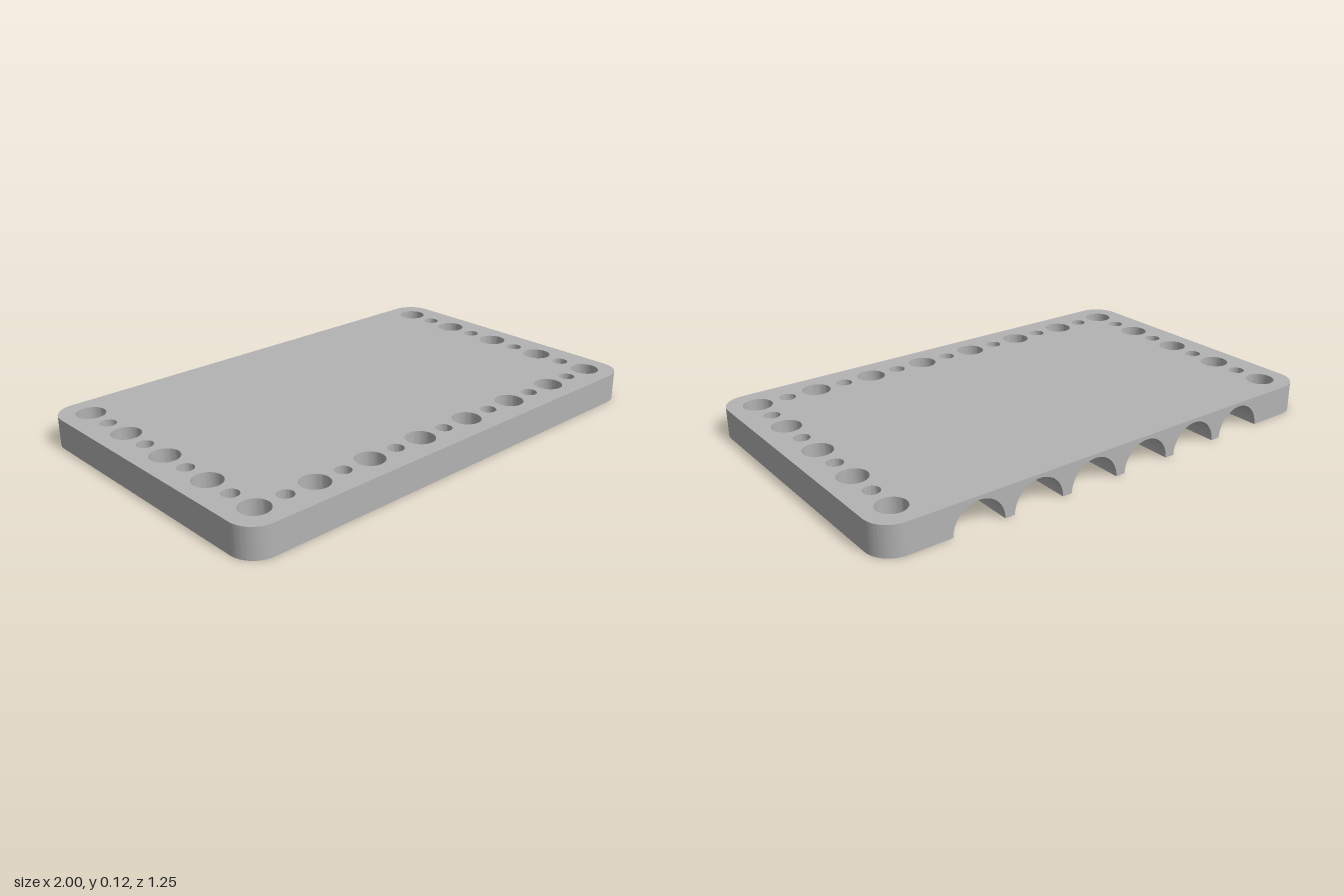
import * as THREE from 'three';
import { toCreasedNormals } from 'three/addons/utils/BufferGeometryUtils.js';

const W = 1, D = 0.623, H = 0.12;      // half width, half depth, height
const CORNER = 0.1;
const GROOVE_R = 0.105, GROOVE_PITCH = 0.25, GROOVES = 6;
const GROOVE_FRONT = 0.4;              // z where the channels end
const BAY = GROOVE_PITCH * (GROOVES - 1) / 2 + GROOVE_R;
const HOLE_X = 0.884, HOLE_Z = 0.505, BIG = 0.057, SMALL = 0.032;

function extrude(shape, depth) {
  const geo = new THREE.ExtrudeGeometry(shape, { depth, bevelEnabled: false, curveSegments: 24 });
  return toCreasedNormals(geo, 0.6);
}

// U-shaped rim with rounded corners, open at the back (shape y = -z)
function rimShape() {
  const s = new THREE.Shape();
  const c = CORNER, h = Math.PI / 2;
  s.moveTo(-BAY, D);
  s.lineTo(-W + c, D);
  s.absarc(-W + c, D - c, c, h, 2 * h, false);
  s.absarc(-W + c, -D + c, c, 2 * h, 3 * h, false);
  s.absarc(W - c, -D + c, c, 3 * h, 4 * h, false);
  s.absarc(W - c, D - c, c, 0, h, false);
  s.lineTo(BAY, D);
  s.lineTo(BAY, -GROOVE_FRONT);
  s.lineTo(-BAY, -GROOVE_FRONT);
  s.closePath();

  const addHole = (x, z, i) => {
    const hole = new THREE.Path();
    hole.absarc(x, -z, i % 2 ? SMALL : BIG, 0, Math.PI * 2, true);
    s.holes.push(hole);
  };
  // front row, alternating large and small
  for (let i = 0; i <= 14; i++) addHole(-HOLE_X + (2 * HOLE_X * i) / 14, HOLE_Z, i);
  // side columns
  for (const side of [-1, 1]) {
    for (let i = 0; i < 8; i++) addHole(side * HOLE_X, -HOLE_Z + (2 * HOLE_Z * i) / 8, i);
  }
  return s;
}

// Cross-section of the centre panel with half-round channels underneath
function channelShape() {
  const s = new THREE.Shape();
  s.moveTo(-BAY, H);
  s.lineTo(-BAY, 0);
  for (let i = 0; i < GROOVES; i++) {
    s.absarc((i - (GROOVES - 1) / 2) * GROOVE_PITCH, 0, GROOVE_R, Math.PI, 0, true);
  }
  s.lineTo(BAY, H);
  s.closePath();
  return s;
}

export function createModel() {
  const group = new THREE.Group();
  group.name = 'channelledPlate';
  const grey = new THREE.MeshStandardMaterial({ color: 0xb3b3b3 });
  grey.name = 'grey';

  const rim = new THREE.Mesh(extrude(rimShape(), H).rotateX(-Math.PI / 2), grey);
  rim.name = 'perforatedRim';

  const panel = new THREE.Mesh(extrude(channelShape(), D + GROOVE_FRONT).translate(0, 0, -D), grey);
  panel.name = 'channelPanel';

  group.add(rim, panel);
  return group;
}
